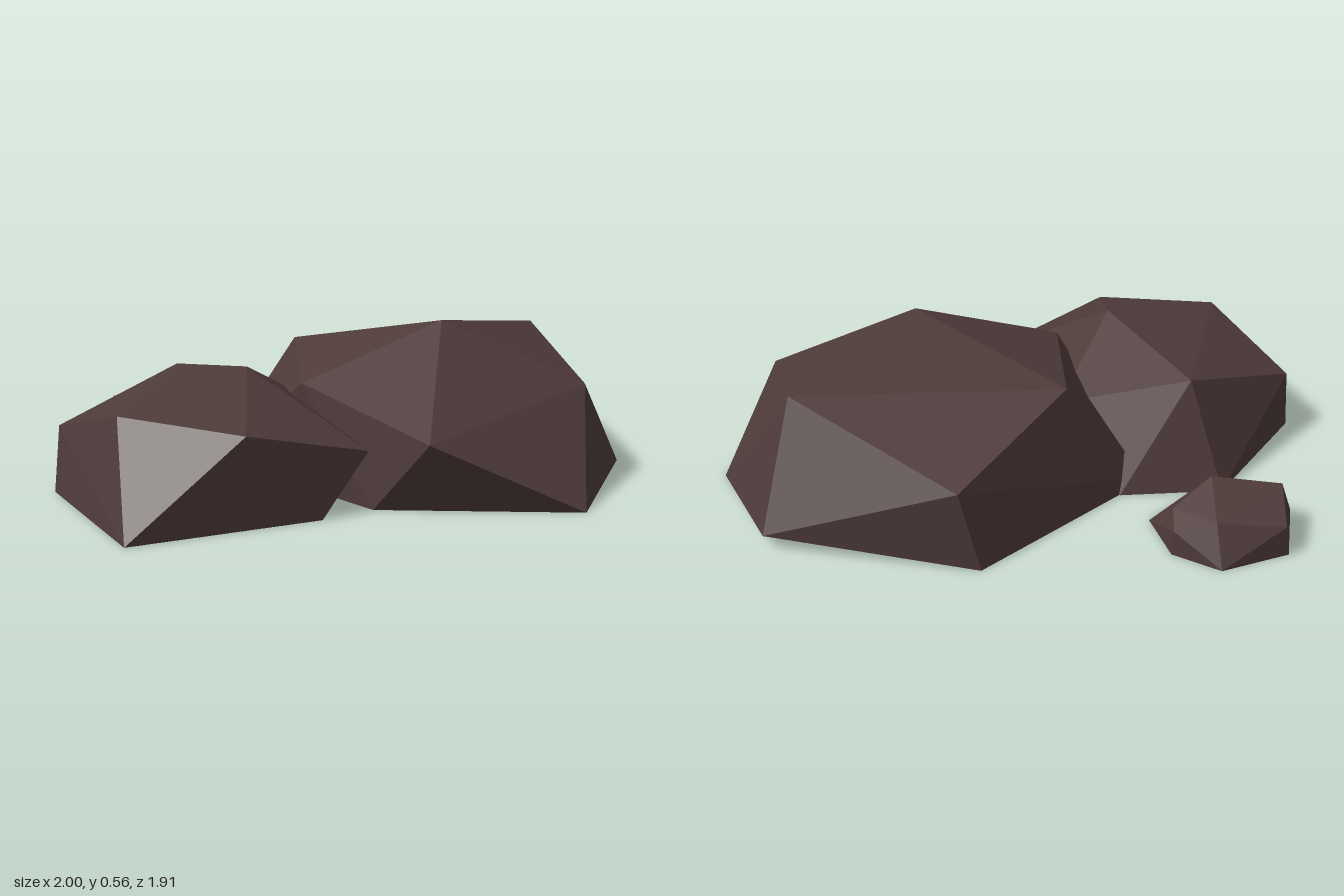
import * as THREE from 'three';
import { ConvexGeometry } from 'three/addons/geometries/ConvexGeometry.js';

const stone = new THREE.MeshStandardMaterial({ color: 0x4e3b3a, flatShading: true, side: THREE.DoubleSide });
stone.name = 'dark brown stone';

// Faceted boulder: hull of its corners, left open where it meets the ground
function boulder(name, corners) {
  const hull = new ConvexGeometry(corners.map((c) => new THREE.Vector3(...c)));
  const p = hull.attributes.position;
  const kept = [];
  for (let i = 0; i < p.count; i += 3) {
    if (Math.max(p.getY(i), p.getY(i + 1), p.getY(i + 2)) < 1e-4) continue;
    for (let j = i; j < i + 3; j++) kept.push(p.getX(j), p.getY(j), p.getZ(j));
  }
  const geometry = new THREE.BufferGeometry();
  geometry.setAttribute('position', new THREE.Float32BufferAttribute(kept, 3));
  geometry.computeVertexNormals();
  const mesh = new THREE.Mesh(geometry, stone);
  mesh.name = name;
  return mesh;
}

export function createModel() {
  const group = new THREE.Group();
  group.name = 'rockCluster';

  group.add(boulder('largeBoulder', [
    // peak and shoulders
    [0.405, 0.564, -0.17], [-0.21, 0.43, -0.32], [0.588, 0.467, -0.76],
    [0.893, 0.343, -0.315], [0.535, 0.262, 0.39], [0.016, 0.383, 0.19],
    // back corners
    [-0.043, 0.28, -0.85], [0.604, 0.05, -0.957],
    // ground outline
    [0.995, 0, 0.096], [0.973, 0, -0.578], [-0.107, 0, -0.823],
    [-0.43, 0, -0.065], [0.32, 0, 0.318],
  ]));

  group.add(boulder('frontBoulder', [
    // peak and shoulders
    [-0.144, 0.451, 0.294], [-0.545, 0.37, 0.005], [-0.42, 0.353, 0.72],
    [0.02, 0.32, 0.69], [0.31, 0.21, 0.34], [-0.11, 0.266, -0.12],
    // right corner
    [-0.78, 0.228, 0.465],
    // ground outline
    [-0.78, 0, 0.51], [-0.283, 0, 0.957], [0.2, 0, 0.48],
    [0.1, 0, 0.02], [-0.37, 0, -0.215], [-0.69, 0, -0.06],
  ]));

  group.add(boulder('smallRock', [
    // crown
    [-0.71, 0.19, -0.3], [-0.93, 0.165, -0.22], [-0.786, 0.137, -0.497],
    [-0.62, 0.12, -0.428], [-0.99, 0.107, -0.39], [-0.652, 0.09, -0.519],
    // ground outline
    [-1, 0, -0.38], [-0.94, 0, -0.1], [-0.765, 0, -0.118], [-0.583, 0, -0.16],
    [-0.513, 0, -0.337], [-0.645, 0, -0.515], [-0.824, 0, -0.552],
  ]));

  return group;
}
